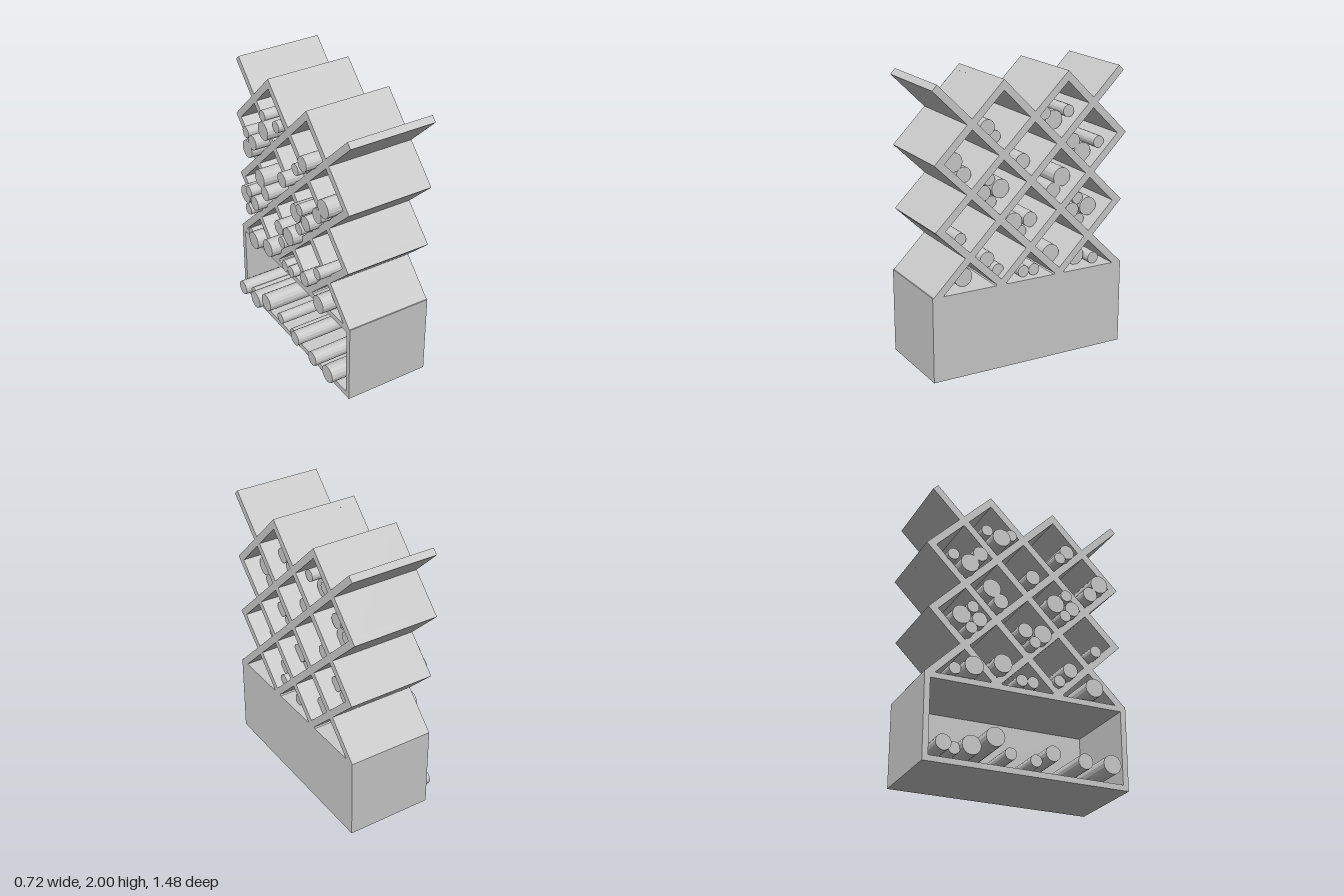
import * as THREE from 'three';

const X0 = -0.27, X1 = 0.355;   // depth range of the rack
const BASE = 0.6;               // top of the base box
const HALF = 0.025;             // half plank thickness

export function createModel() {
  const group = new THREE.Group();
  const mat = new THREE.MeshStandardMaterial({ color: 0xcccccc, flatShading: true });

  const add = (parent, name, geo, x = 0, y = 0, z = 0) => {
    const m = new THREE.Mesh(geo, mat);
    m.name = name;
    m.position.set(x, y, z);
    parent.add(m);
    return m;
  };

  // Base box, open towards -x
  const base = new THREE.Group();
  base.name = 'baseBox';
  group.add(base);
  const zA = -0.72, zB = 0.743, T = 0.04;
  const D = X1 - X0, W = zB - zA, cx = (X0 + X1) / 2, cz = (zA + zB) / 2;
  add(base, 'baseFloor', new THREE.BoxGeometry(D, T, W), cx, T / 2, cz);
  add(base, 'baseTop', new THREE.BoxGeometry(D, T, W), cx, BASE - T / 2, cz);
  for (const z of [zA + T / 2, zB - T / 2])
    add(base, 'baseEnd', new THREE.BoxGeometry(D, BASE - 2 * T, T), cx, BASE / 2, z);
  add(base, 'basePanel', new THREE.BoxGeometry(T, BASE - 2 * T, W - 2 * T), X1 - T / 2, BASE / 2, cz);

  // Lattice planks, given by end points (s = -z, y); feet are cut level on the base
  const lattice = new THREE.Group();
  lattice.name = 'lattice';
  group.add(lattice);
  const plank = ([s1, y1, s2, y2]) => {
    const a = new THREE.Vector2(s1, y1), b = new THREE.Vector2(s2, y2);
    const d = b.clone().sub(a).normalize();
    const n = new THREE.Vector2(-d.y, d.x).multiplyScalar(HALF);
    const end = (p, sign) => {
      if (p.y <= BASE) {
        const w = HALF / Math.abs(d.y) * Math.sign(n.x);
        return [new THREE.Vector2(p.x + w, BASE), new THREE.Vector2(p.x - w, BASE)];
      }
      const q = p.clone();
      if (p.y < 1.97) q.addScaledVector(d, sign * HALF); // close the corner joint
      return [q.clone().add(n), q.clone().sub(n)];
    };
    const [a1, a2] = end(a, -1), [b1, b2] = end(b, 1);
    const geo = new THREE.ExtrudeGeometry(new THREE.Shape([a1, a2, b2, b1]), { depth: D, bevelEnabled: false });
    add(lattice, 'plank', geo, X0).rotation.y = Math.PI / 2;
  };
  [
    // rising towards the back
    [-0.70, 0.6, 0.684, 1.98], [-0.24, 0.6, 0.70, 1.533], [0.21, 0.6, 0.674, 1.06],
    [-0.679, 1.04, 0.27, 1.963], [-0.679, 1.485, -0.212, 1.952],
    // falling towards the back
    [-0.703, 1.98, 0.685, 0.6], [-0.679, 1.485, 0.225, 0.6], [-0.679, 1.04, -0.225, 0.6],
    [-0.212, 1.952, 0.674, 1.06], [0.27, 1.963, 0.70, 1.533],
  ].forEach(plank);

  // Round rolls lying along x, listed as [z, y] by size
  const rolls = new THREE.Group();
  rolls.name = 'rolls';
  group.add(rolls);
  const LEN = 0.6;
  const addRolls = (radius, startX, list) => {
    const geo = new THREE.CylinderGeometry(radius, radius, LEN, 16).rotateZ(Math.PI / 2);
    for (const [z, y] of list) add(rolls, 'roll', geo, startX + LEN / 2, y, z);
  };
  // thick
  addRolls(0.066, -0.345, [
    [0.53, 1.46], [-0.22, 1.655], [-0.45, 1.405], [0.185, 1.236], [-0.29, 1.25], [-0.504, 1.01],
    [0.085, 0.987], [0.467, 0.664], [-0.207, 0.716], [-0.41, 0.663],
    [0.584, 0.14], [-0.257, 0.2], [-0.42, 0.12],
  ]);
  // medium
  addRolls(0.054, -0.345, [
    [0.28, 1.66], [0.456, 1.368], [-0.375, 1.49], [0.015, 1.4], [0.313, 1.222], [-0.223, 1.165],
    [-0.375, 1.0], [-0.043, 0.987], [0.287, 0.758],
    [0.385, 0.132], [0.15, 0.15], [-0.61, 0.11],
  ]);
  // thin, pulled out
  addRolls(0.042, -0.36, [
    [0.217, 1.59], [0.26, 1.305], [0.25, 1.15], [-0.43, 1.075], [-0.44, 0.922], [0.02, 0.907], [0.477, 0.928],
  ]);
  // thin, pushed in
  addRolls(0.042, -0.3, [
    [-0.127, 1.718], [-0.308, 1.714], [-0.552, 1.473], [0.23, 0.69], [0.033, 0.642], [-0.049, 0.642],
    [-0.525, 0.642], [-0.13, 0.12], [-0.52, 0.1], [0.05, 0.1],
  ]);
  return group;
}
